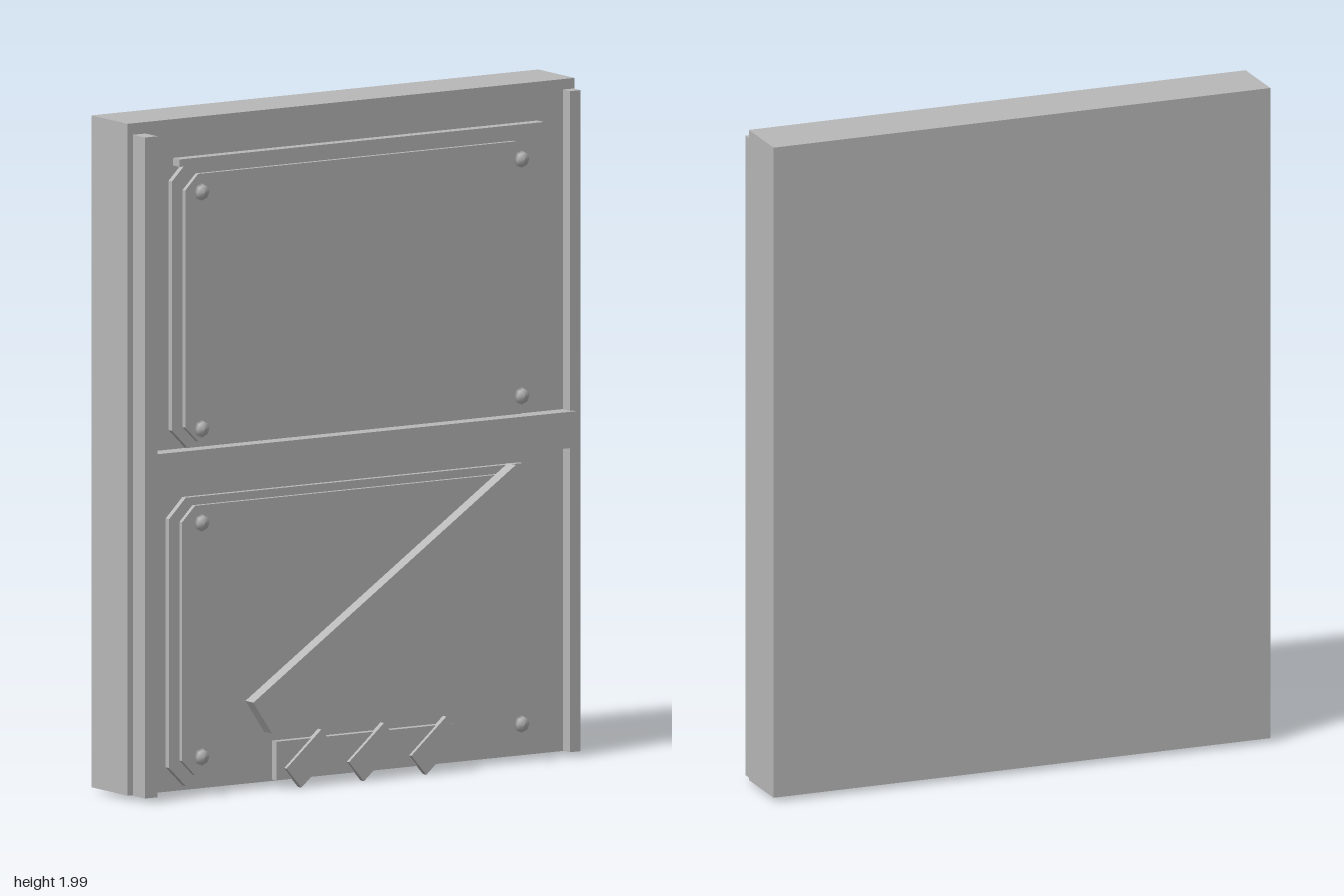
import * as THREE from 'three';

export function createModel() {
  const group = new THREE.Group();
  const grey = new THREE.MeshStandardMaterial({ color: 0xb8b8b8 });
  grey.name = 'grey';

  const add = (name, geometry) => {
    const mesh = new THREE.Mesh(geometry, grey);
    mesh.name = name;
    group.add(mesh);
    return mesh;
  };

  // Box given by its limits on each axis
  const block = (name, [x0, x1], [y0, y1], [z0, z1]) => {
    const mesh = add(name, new THREE.BoxGeometry(x1 - x0, y1 - y0, z1 - z0));
    mesh.position.set((x0 + x1) / 2, (y0 + y1) / 2, (z0 + z1) / 2);
    return mesh;
  };

  // Plate with cut corners
  const plate = (name, [x0, x1], [y0, y1], [z0, z1], c) => {
    const shape = new THREE.Shape([
      [x0 + c, y0], [x1 - c, y0], [x1, y0 + c], [x1, y1 - c],
      [x1 - c, y1], [x0 + c, y1], [x0, y1 - c], [x0, y0 + c],
    ].map(([x, y]) => new THREE.Vector2(x, y)));
    const geometry = new THREE.ExtrudeGeometry(shape, { depth: z1 - z0, bevelEnabled: false });
    add(name, geometry.translate(0, 0, z0));
  };

  // Main slab, side rails and cross bands
  block('slab', [-0.783, 0.78], [0.02, 2], [-0.143, 0.048]);
  block('rightRail', [-0.778, -0.734], [0.022, 1.97], [0.068, 0.131]);
  block('leftRail', [0.736, 0.773], [0.022, 1.97], [0.052, 0.09]);
  block('middleBand', [-0.738, 0.745], [0.921, 1.028], [0.05, 0.105]);
  block('topTrim', [-0.64, 0.635], [1.868, 1.89], [0.07, 0.105]);

  // Two layered panels
  plate('upperPanelFrame', [-0.64, 0.635], [1.03, 1.875], [0.048, 0.066], 0.055);
  plate('upperPanel', [-0.603, 0.598], [1.048, 1.837], [0.066, 0.08], 0.045);
  plate('lowerPanelFrame', [-0.65, 0.645], [0.034, 0.884], [0.048, 0.066], 0.058);
  plate('lowerPanel', [-0.614, 0.608], [0.066, 0.86], [0.066, 0.08], 0.045);

  // Domed rivets at the panel corners
  const profile = [[0, 0], [0.026, 0], [0.021, 0.009], [0.011, 0.015], [0, 0.017]]
    .map(([r, h]) => new THREE.Vector2(r, h));
  const dome = new THREE.LatheGeometry(profile, 8).rotateX(Math.PI / 2);
  for (const y of [1.788, 1.09, 0.813, 0.123]) {
    for (const x of [-0.562, 0.557]) add('rivet', dome).position.set(x, y, 0.105);
  }

  // Diagonal brace
  const brace = add('diagonalBrace', new THREE.BoxGeometry(1.108, 0.117, 0.042));
  brace.position.set(0.085, 0.536, 0.122);
  brace.rotation.z = 0.595;

  // Bottom plate with slanted hazard blocks
  block('bottomPlate', [-0.312, 0.307], [0.034, 0.148], [0.098, 0.122]);
  for (const x of [-0.198, 0.021, 0.239]) {
    const slant = add('slantedBlock', new THREE.BoxGeometry(0.161, 0.08, 0.018));
    slant.position.set(x, 0.09, 0.125);
    slant.rotation.z = 0.71;
  }
  return group;
}
